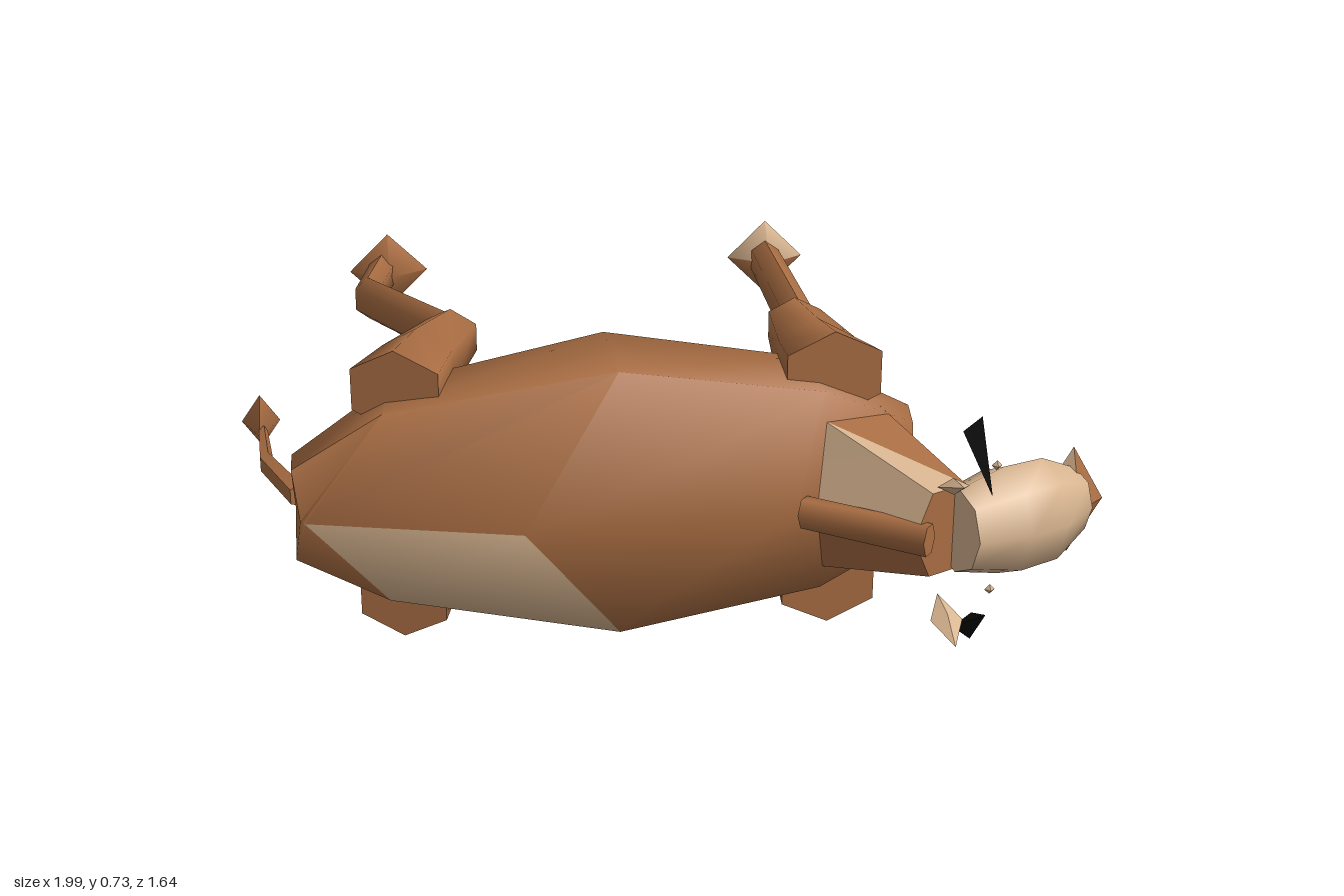
import * as THREE from 'three';
import { toCreasedNormals } from 'three/addons/utils/BufferGeometryUtils.js';

const MID = 0.375; // height of the animal's plane of symmetry (it lies on its side)

export function createModel() {
  const group = new THREE.Group();
  const mat = (name, color) => Object.assign(new THREE.MeshStandardMaterial({ color }), { name });
  const brown = mat('brown coat', 0xaa6e43);
  const cream = mat('cream coat', 0xd8b590);
  const black = mat('black horn', 0x0a0a0a);
  const mats = [brown, cream, black];

  // Makes a mesh from triangles; paint gives each triangle its colour index
  function solid(name, tris, paint, crease) {
    let volume = 0;
    for (const [a, b, c] of tris) volume += a.clone().cross(b).dot(c);
    const pos = [];
    const geo = new THREE.BufferGeometry();
    tris.forEach((t, i) => {
      const order = volume < 0 ? [t[0], t[2], t[1]] : t;
      order.forEach(p => pos.push(p.x, p.y, p.z));
      geo.addGroup(i * 3, 3, paint(t.info));
    });
    geo.setAttribute('position', new THREE.Float32BufferAttribute(pos, 3));
    const mesh = new THREE.Mesh(toCreasedNormals(geo, crease), mats);
    mesh.name = name;
    group.add(mesh);
    return mesh;
  }

  // Skins a list of rings and closes both ends
  function loft(name, rings, paint = () => 0, crease = 0.9) {
    const tris = [];
    const add = (info, ...t) => { t.info = info; tris.push(t); };
    const n = rings[0].length;
    for (let r = 0; r < rings.length - 1; r++) {
      for (let k = 0; k < n; k++) {
        const j = (k + 1) % n, A = rings[r], B = rings[r + 1];
        add({ r, k, half: 0 }, A[k], A[j], B[j]);
        add({ r, k, half: 1 }, A[k], B[j], B[k]);
      }
    }
    for (const end of [0, rings.length - 1]) {
      const R = rings[end];
      const c = R.reduce((s, p) => s.add(p), new THREE.Vector3()).divideScalar(n);
      for (let k = 0; k < n; k++) {
        const j = (k + 1) % n;
        if (end) add({ r: end, k }, c, R[k], R[j]);
        else add({ r: -1, k }, c, R[j], R[k]);
      }
    }
    return solid(name, tris, paint, crease);
  }

  // Sweeps a polygon along [x, y, z, radius across y, radius in plane]
  function limb(name, path, n = 6, paint, crease, phase = 0) {
    const rings = path.map((p, i) => {
      const a = path[Math.max(0, i - 1)], b = path[Math.min(path.length - 1, i + 1)];
      const dx = b[0] - a[0], dz = b[2] - a[2], l = Math.hypot(dx, dz);
      return Array.from({ length: n }, (_, k) => {
        const t = k / n * Math.PI * 2 + phase, w = Math.cos(t) * p[4] / l;
        return new THREE.Vector3(p[0] - dz * w, p[1] + Math.sin(t) * p[3], p[2] + dx * w);
      });
    });
    return loft(name, rings, paint, crease);
  }

  // Six-sided leg piece with an edge facing outward
  const legPiece = (name, path) => limb(name, path, 6, undefined, 1.2, Math.PI / 6);

  // Eight-faced gem used for hooves, nose, tail tuft and ears
  function gem(name, [x, y, z], [rx, ry, rz], paint, crease = 1.7) {
    const tris = [];
    for (const sx of [-1, 1]) for (const sy of [-1, 1]) for (const sz of [-1, 1]) {
      const t = [new THREE.Vector3(sx * rx, 0, 0), new THREE.Vector3(0, sy * ry, 0), new THREE.Vector3(0, 0, sz * rz)];
      if (sx * sy * sz < 0) t.reverse();
      t.info = { sx, sy, sz };
      tris.push(t);
    }
    const mesh = solid(name, tris, paint, crease);
    mesh.position.set(x, y, z);
    return mesh;
  }

  // Six-sided body rings: half width, then [x, z] of back, upper flank, lower flank, belly
  const bodyRings = [
    [0.11, [-0.845, 0.36], [-0.86, 0.32], [-0.86, 0.22], [-0.85, 0.17]],
    [0.23, [-0.835, 0.375], [-0.65, 0.31], [-0.63, 0.1], [-0.61, 0.0]],
    [0.322, [-0.35, 0.51], [-0.12, 0.36], [-0.12, 0.06], [-0.21, -0.1]],
    [0.245, [0.27, 0.47], [0.36, 0.34], [0.36, 0.08], [0.21, -0.06]],
    [0.145, [0.57, 0.36], [0.58, 0.3], [0.6, 0.18], [0.6, 0.12]],
  ].map(([h, back, high, low, belly]) => [
    [back, 0], [high, h], [low, h], [belly, 0], [low, -h], [high, -h],
  ].map(([[x, z], dy]) => new THREE.Vector3(x, MID + dy, z)));
  // Pale patch on one flank
  loft('body', bodyRings, f => (f.r === 1 && f.k >= 4 ? 1 : 0), 1.2);

  // Neck with pale sides, and the mane ridge behind it
  limb('neck', [[0.43, MID, 0.32, 0.21, 0.17], [0.585, MID, 0.61, 0.115, 0.1]], 6,
    f => (f.r === 0 && (f.k === 0 || (f.k === 1 && f.half === 1) || f.k === 4) ? 1 : 0), 0.5);
  limb('mane', [[0.29, MID, 0.46, 0.04, 0.03], [0.53, MID, 0.66, 0.04, 0.03]], 6, undefined, 1.2);

  // Head and nose
  limb('head', [
    [0.605, MID, 0.615, 0.1, 0.085],
    [0.72, MID, 0.57, 0.13, 0.115],
    [0.82, MID, 0.53, 0.13, 0.1],
    [0.92, MID, 0.475, 0.08, 0.06],
  ], 8, f => ((f.r === 1 && f.k === 2 && f.half === 1) || (f.r === 2 && f.k === 2) ? 0 : 1), 1.0);
  gem('nose', [0.915, MID, 0.47], [0.077, 0.13, 0.07], f => (f.sx < 0 && f.sz > 0 ? 1 : 0), 0.6);

  // Tail and tuft
  limb('tail', [[-0.85, MID, 0.2, 0.03, 0.025], [-0.93, MID, -0.02, 0.03, 0.018], [-0.945, MID, -0.25, 0.015, 0.012]], 5);
  gem('tailTuft', [-0.952, MID, -0.33], [0.048, 0.068, 0.12], () => 0);

  for (const s of [1, -1]) {
    const side = s > 0 ? 'Upper' : 'Lower';
    const y = v => MID + s * v;

    // Front leg
    legPiece('frontThigh' + side, [
      [0.395, y(0.262), 0.275, 0.105, 0.13],
      [0.39, y(0.242), 0.1, 0.105, 0.108],
      [0.385, y(0.26), -0.14, 0.067, 0.076],
    ]);
    legPiece('frontShank' + side, [[0.395, y(0.258), -0.12, 0.06, 0.046], [0.42, y(0.265), -0.71, 0.053, 0.043]]);
    gem('frontHoof' + side, [0.425, y(0.265), -0.745], [0.103, 0.1, 0.078], f => (s > 0
      ? (f.sz > 0 && f.sy < 0 ? 0 : 1)
      : (f.sz < 0 && !(f.sx > 0 && f.sy < 0) ? 1 : 0)));

    // Hind leg, bent at the hock
    legPiece('hindThigh' + side, [
      [-0.62, y(0.257), 0.24, 0.098, 0.12],
      [-0.56, y(0.254), 0.06, 0.096, 0.1],
      [-0.47, y(0.26), -0.16, 0.067, 0.076],
    ]);
    legPiece('hindShank' + side, [
      [-0.47, y(0.26), -0.14, 0.06, 0.05],
      [-0.665, y(0.262), -0.5, 0.055, 0.04],
      [-0.625, y(0.265), -0.72, 0.05, 0.038],
    ]);
    gem('hindHoof' + side, [-0.607, y(0.265), -0.745], [0.103, 0.1, 0.078], () => 0);

    // Ear, horn and eye
    const ear = gem('ear' + side, [0.555, y(0.158), 0.738], [0.036, 0.018, 0.085], () => 1, 0.6);
    ear.rotation.x = -s * 0.33;
    limb('horn' + side, [[0.635, y(0.236), 0.615, 0.038, 0.028], [0.635, y(0.142), 0.76, 0.001, 0.001]], 3, () => 2, 0.3);
    gem('eye' + side, [0.69, y(0.15), 0.61], [0.012, 0.012, 0.012], () => 1, 0.6);
  }
  return group;
}
